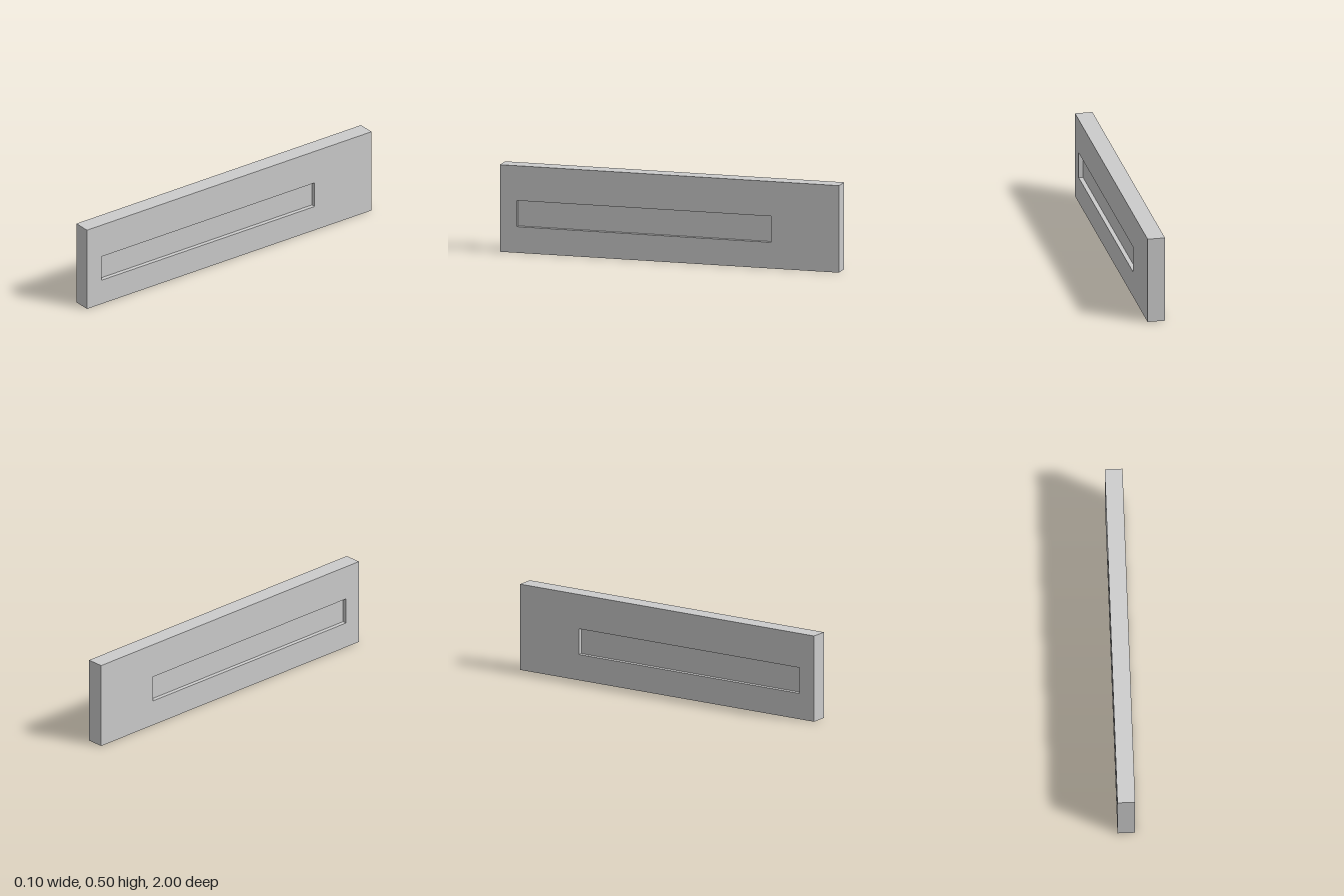
import * as THREE from 'three';

const LENGTH = 2, HEIGHT = 0.5, THICKNESS = 0.1, RECESS = 0.025;
const SLOT = { z0: -0.6, z1: 0.9, y0: 0.15, y1: 0.3 };

// Traces a rectangle on a shape or path
function rectangle(path, x0, y0, x1, y1) {
  path.moveTo(x0, y0);
  path.lineTo(x1, y0);
  path.lineTo(x1, y1);
  path.lineTo(x0, y1);
  path.closePath();
  return path;
}

export function createModel() {
  const group = new THREE.Group();
  group.name = 'groovedPanel';
  const material = new THREE.MeshStandardMaterial({ color: 0xcccccc, flatShading: true });

  // Panel with a long rectangular opening, drawn in z-y and extruded along x
  const outline = rectangle(new THREE.Shape(), -LENGTH / 2, 0, LENGTH / 2, HEIGHT);
  outline.holes.push(rectangle(new THREE.Path(), SLOT.z0, SLOT.y0, SLOT.z1, SLOT.y1));
  const panelGeometry = new THREE.ExtrudeGeometry(outline, { depth: THICKNESS, bevelEnabled: false });
  panelGeometry.translate(0, 0, -THICKNESS / 2).rotateY(-Math.PI / 2);
  const panel = new THREE.Mesh(panelGeometry, material);
  panel.name = 'panel';
  group.add(panel);

  // Web closing the opening, leaving a shallow groove on each side
  const web = new THREE.Mesh(
    new THREE.BoxGeometry(THICKNESS - 2 * RECESS, SLOT.y1 - SLOT.y0, SLOT.z1 - SLOT.z0),
    material
  );
  web.position.set(0, (SLOT.y0 + SLOT.y1) / 2, (SLOT.z0 + SLOT.z1) / 2);
  web.name = 'grooveFloor';
  group.add(web);

  return group;
}
